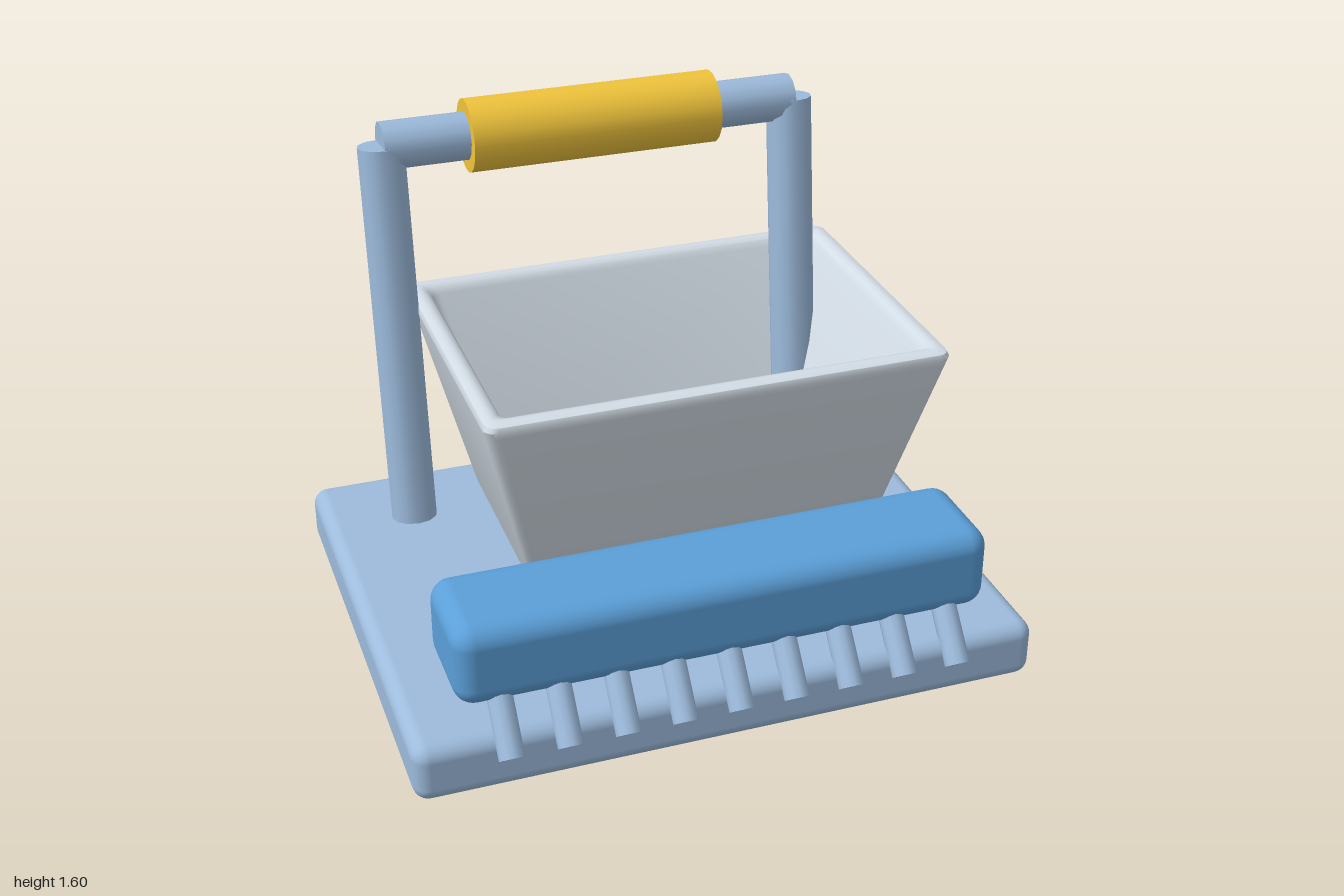
import * as THREE from 'three';
import { RoundedBoxGeometry } from 'three/addons/geometries/RoundedBoxGeometry.js';
import { toCreasedNormals } from 'three/addons/utils/BufferGeometryUtils.js';

const mat = (color) => new THREE.MeshStandardMaterial({ color });

// Tapered open tub: rounded-rectangle rings [halfX, halfZ, y, cornerRadius] skinned in order
function tubGeometry(rings) {
  const steps = 4, n = 4 * (steps + 1), pos = [], idx = [];
  for (const [hx, hz, y, r] of rings) {
    for (let q = 0; q < 4; q++) {
      const sx = q === 0 || q === 3 ? 1 : -1, sz = q < 2 ? -1 : 1;
      for (let s = 0; s <= steps; s++) {
        const a = (q + s / steps) * Math.PI / 2;
        pos.push(sx * (hx - r) + r * Math.cos(a), y, sz * (hz - r) - r * Math.sin(a));
      }
    }
  }
  for (let i = 0; i < rings.length - 1; i++) {
    for (let j = 0; j < n; j++) {
      const k = (j + 1) % n, a = i * n + j, b = i * n + k;
      idx.push(a, b, b + n, a, b + n, a + n);
    }
  }
  const g = new THREE.BufferGeometry();
  g.setAttribute('position', new THREE.Float32BufferAttribute(pos, 3));
  g.setIndex(idx);
  return toCreasedNormals(g, 0.7);
}

// Cylinder spanning two points
function rod(name, from, to, radius, sides, material) {
  const a = new THREE.Vector3(...from), b = new THREE.Vector3(...to);
  const dir = b.clone().sub(a);
  const m = new THREE.Mesh(new THREE.CylinderGeometry(radius, radius, dir.length(), sides), material);
  m.position.copy(a).add(b).multiplyScalar(0.5);
  m.quaternion.setFromUnitVectors(new THREE.Vector3(0, 1, 0), dir.normalize());
  m.name = name;
  return m;
}

function block(name, size, center, radius, material) {
  const m = new THREE.Mesh(new RoundedBoxGeometry(...size, 4, radius), material);
  m.position.set(...center);
  m.name = name;
  return m;
}

export function createModel() {
  const model = new THREE.Group();
  model.name = 'scoopWithTub';
  const steel = mat(0x9dbbdc), blue = mat(0x5b9fd8), yellow = mat(0xf0c43c), pale = mat(0xd3dde6);

  // Base plate and front roller housing
  model.add(block('base', [2, 0.195, 1.575], [0, 0.0975, -0.0325], 0.05, steel));
  model.add(block('frontBar', [1.7, 0.27, 0.355], [0, 0.395, 0.5225], 0.065, blue));

  // Row of slanted teeth below the front bar
  const teeth = new THREE.Group();
  teeth.name = 'teeth';
  for (let i = 0; i < 9; i++) {
    const x = (i - 4) * 0.179;
    teeth.add(rod('tooth', [x, 0.13, 0.785], [x, 0.35, 0.6], 0.04, 12, steel));
  }
  model.add(teeth);

  // Flared tub: underside, outer wall, rounded rim, inner wall, floor
  const tub = new THREE.Mesh(tubGeometry([
    [0, 0, 0.2, 0],
    [0.54, 0.345, 0.2, 0.02],
    [0.566, 0.37, 0.208, 0.03],
    [0.584, 0.386, 0.235, 0.035],
    [0.754, 0.53, 0.9, 0.04],
    [0.76, 0.535, 0.922, 0.04],
    [0.754, 0.53, 0.938, 0.04],
    [0.735, 0.511, 0.945, 0.03],
    [0.72, 0.495, 0.945, 0.025],
    [0.7, 0.475, 0.938, 0.025],
    [0.686, 0.461, 0.915, 0.03],
    [0.522, 0.312, 0.31, 0.03],
    [0.512, 0.302, 0.285, 0.03],
    [0.49, 0.28, 0.275, 0.02],
    [0, 0, 0.275, 0],
  ]), pale);
  tub.position.set(0.13, 0, -0.255);
  tub.name = 'tub';
  model.add(tub);

  // Leaning handle with grip
  const handle = new THREE.Group();
  handle.name = 'handle';
  for (const x of [-0.7, 0.7]) {
    handle.add(rod('handleLeg', [x, 0.195, -0.52], [x, 1.485, -0.675], 0.077, 12, steel));
  }
  handle.add(rod('handleBar', [-0.7, 1.482, -0.68], [0.7, 1.482, -0.68], 0.079, 12, steel));
  handle.add(rod('grip', [-0.42, 1.482, -0.68], [0.42, 1.482, -0.68], 0.121, 18, yellow));
  model.add(handle);

  return model;
}
